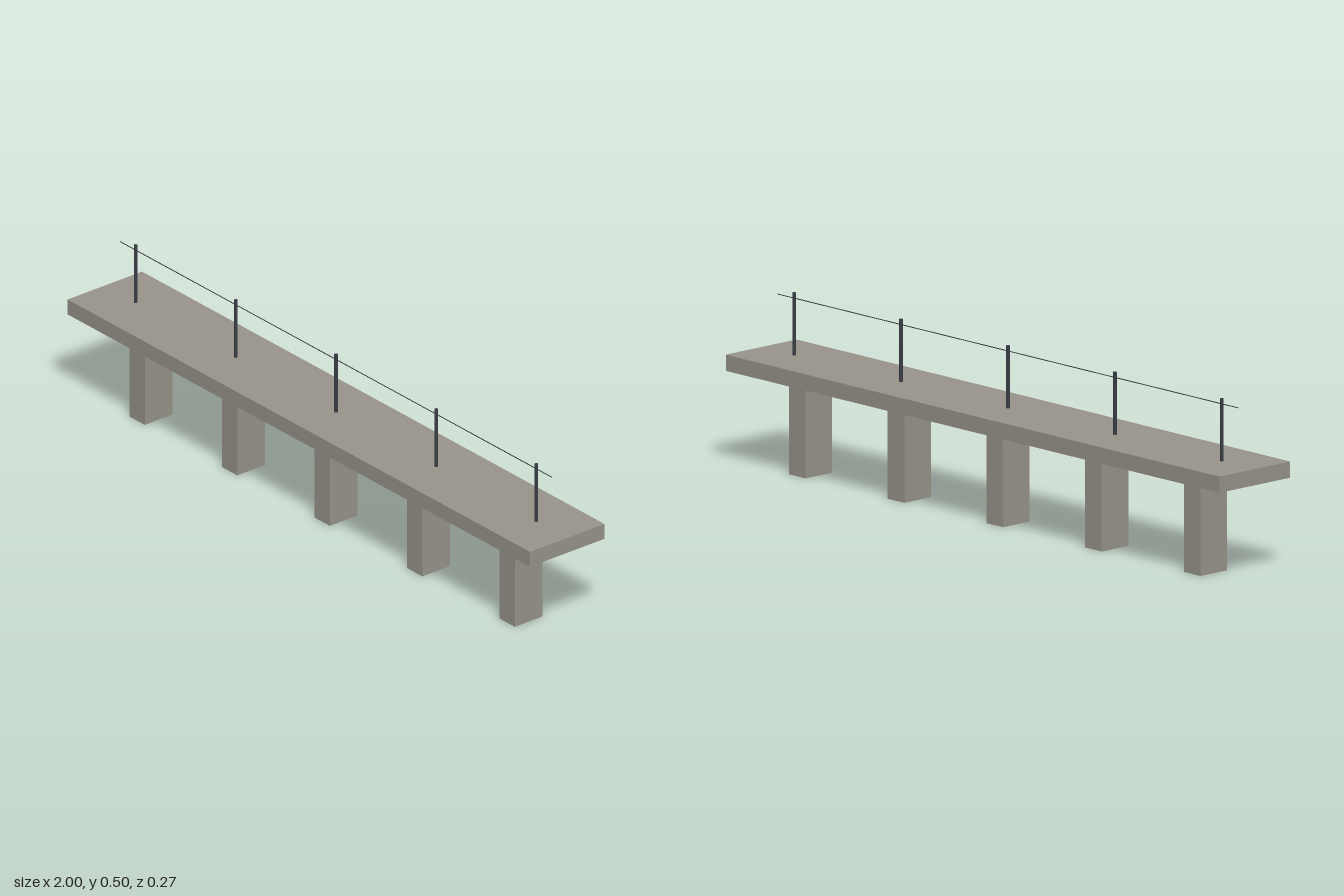
import * as THREE from 'three';

export function createModel() {
  const model = new THREE.Group();
  const stone = new THREE.MeshStandardMaterial({ color: 0x99958b });
  const metal = new THREE.MeshStandardMaterial({ color: 0x3a3f46, flatShading: true });

  const add = (name, geometry, material, x, y) => {
    const mesh = new THREE.Mesh(geometry, material);
    mesh.name = name;
    mesh.position.set(x, y, 0);
    model.add(mesh);
    return mesh;
  };

  // Long platform slab, floating just above its piers
  add('deck', new THREE.BoxGeometry(2, 0.046, 0.267), stone, 0, 0.301);

  // Five piers below and five thin posts along the centre line
  const pierGeometry = new THREE.BoxGeometry(0.067, 0.268, 0.1);
  const postGeometry = new THREE.CylinderGeometry(0.005, 0.005, 0.178, 8);
  for (let i = -2; i <= 2; i++) {
    add('pier', pierGeometry, stone, i * 0.4, 0.134);
    add('post', postGeometry, metal, i * 0.4333, 0.413);
  }

  // Overhead wire threaded through the post tops
  const wire = add('wire', new THREE.CylinderGeometry(0.0013, 0.0013, 1.867, 6), metal, 0, 0.486);
  wire.rotation.z = Math.PI / 2;

  return model;
}
